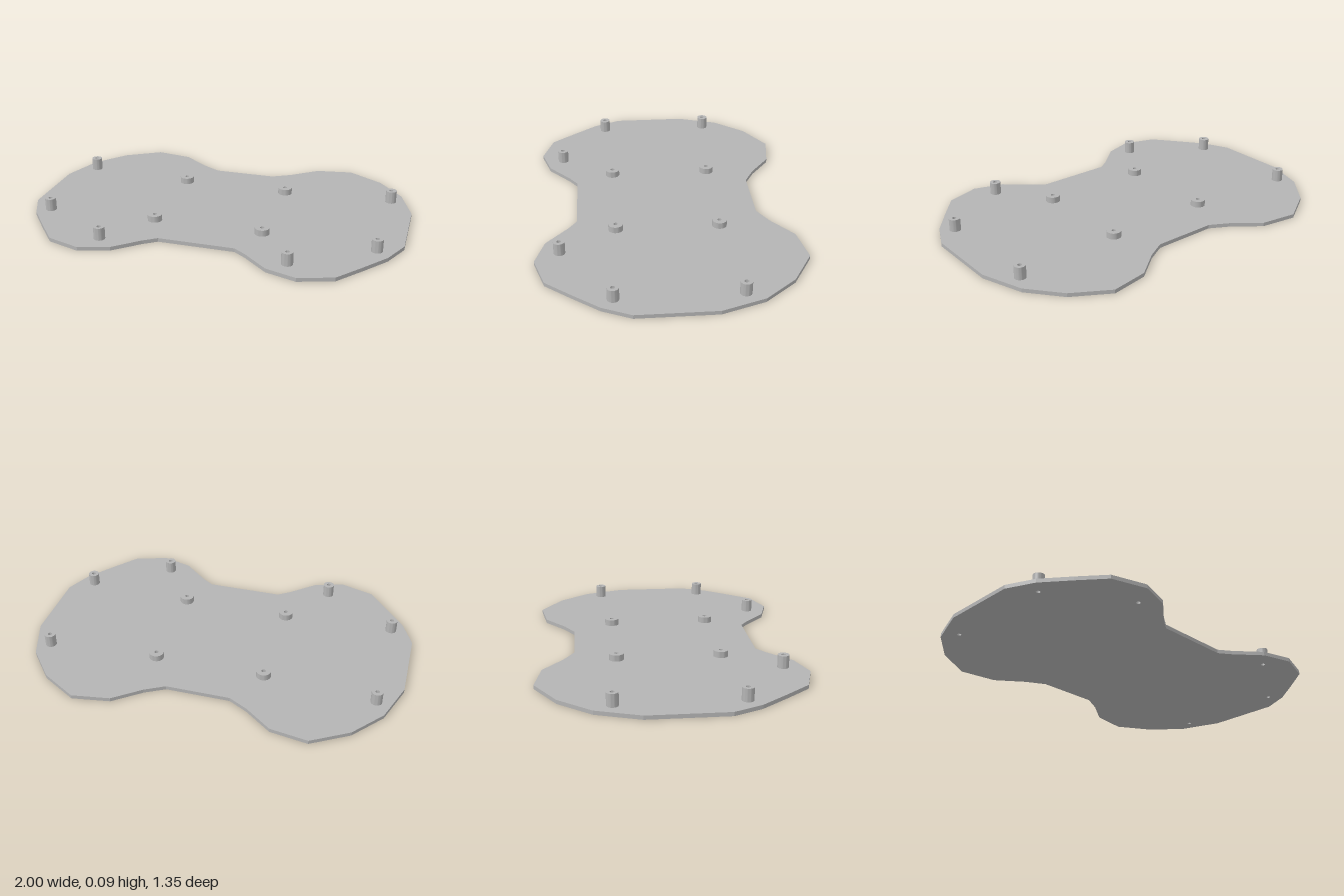
import * as THREE from 'three';
import { toCreasedNormals } from 'three/addons/utils/BufferGeometryUtils.js';

const THICKNESS = 0.02;
const HOLE = 0.011;

// Right half of the plate edge as [x, z], front to back
const EDGE = [
  [0.2, 0.465], [0.265, 0.51], [0.393, 0.622], [0.55, 0.67], [0.725, 0.615],
  [0.83, 0.487], [0.935, 0.353], [1, 0.21], [1, -0.187], [0.925, -0.405],
  [0.79, -0.567], [0.603, -0.678], [0.407, -0.647], [0.268, -0.54], [0.167, -0.485],
];

// Post centres on one side; each is mirrored across x
const TALL = [[0.875, -0.317], [0.875, 0.295], [0.482, 0.548]];
const SHORT = [[0.29, -0.272], [0.29, 0.265]];

const mirrored = (list) => list.flatMap(([x, z]) => [[x, z], [-x, z]]);

// Hollow round post standing on the plate
function postGeometry(radius, top) {
  const profile = [
    [radius, THICKNESS], [radius, top], [HOLE, top], [HOLE, THICKNESS],
  ].map(([x, y]) => new THREE.Vector2(x, y));
  return toCreasedNormals(new THREE.LatheGeometry(profile, 32), 0.7);
}

export function createModel() {
  const model = new THREE.Group();
  model.name = 'mountingPlate';
  const grey = new THREE.MeshStandardMaterial({ color: 0xb4b4b4 });
  grey.name = 'plain grey';

  // Flat plate, drilled through under the tall posts
  const outline = [...EDGE, ...EDGE.map(([x, z]) => [-x, z]).reverse()];
  const shape = new THREE.Shape(outline.map(([x, z]) => new THREE.Vector2(x, -z)));
  for (const [x, z] of mirrored(TALL)) {
    shape.holes.push(new THREE.Path().absarc(x, -z, HOLE, 0, Math.PI * 2, true));
  }
  const plateGeometry = new THREE.ExtrudeGeometry(shape, {
    depth: THICKNESS, bevelEnabled: false, curveSegments: 16,
  });
  plateGeometry.rotateX(-Math.PI / 2);
  const plate = new THREE.Mesh(plateGeometry, grey);
  plate.name = 'plate';
  model.add(plate);

  // Tall through-posts near the rim and short blind posts in the middle
  const addPosts = (name, centres, geometry) => {
    for (const [x, z] of mirrored(centres)) {
      const post = new THREE.Mesh(geometry, grey);
      post.name = name;
      post.position.set(x, 0, z);
      model.add(post);
    }
  };
  addPosts('tallPost', TALL, postGeometry(0.029, 0.086));
  addPosts('shortPost', SHORT, postGeometry(0.038, 0.053));

  return model;
}
